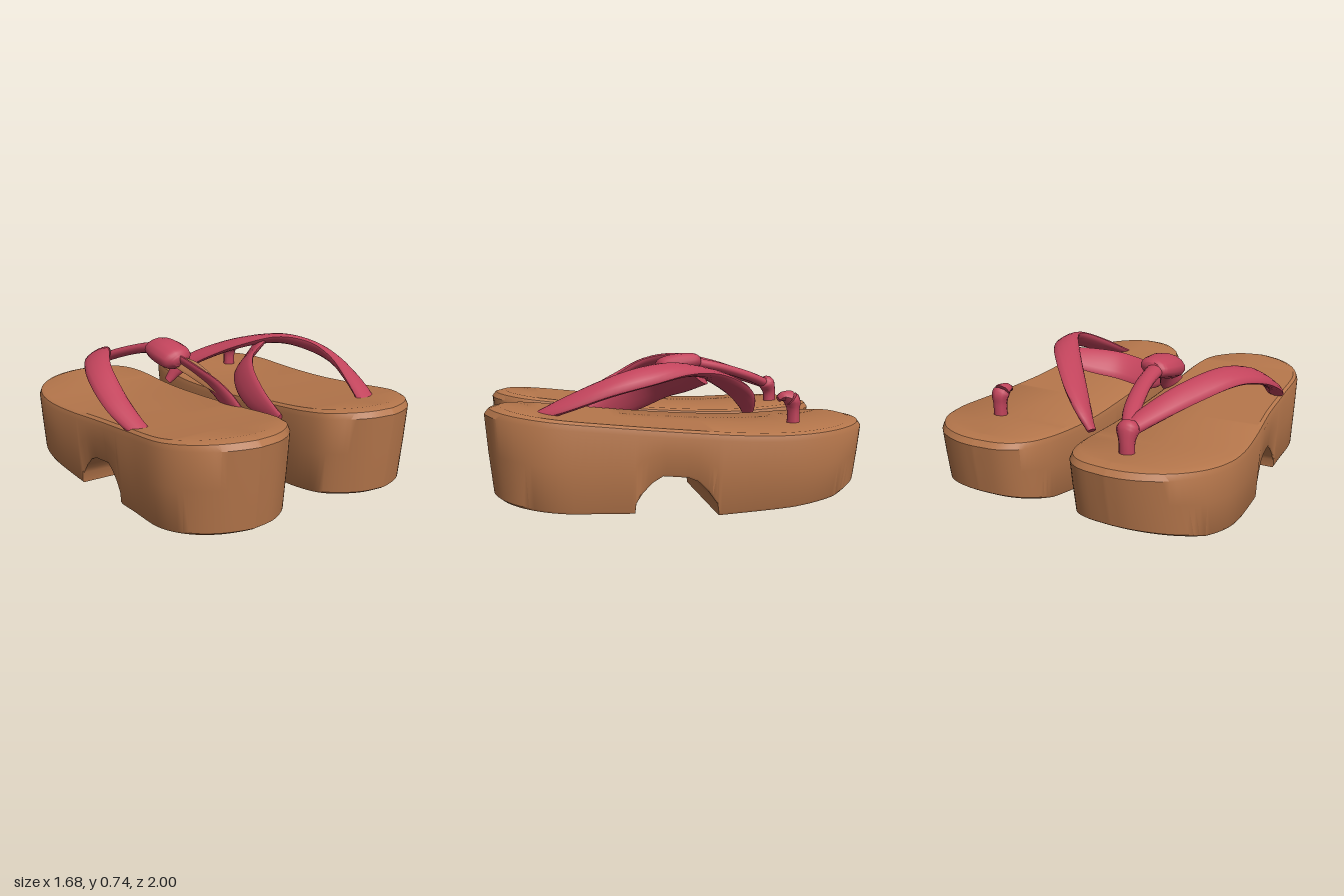
import * as THREE from 'three';
import { toCreasedNormals } from 'three/addons/utils/BufferGeometryUtils.js';

const wood = new THREE.MeshStandardMaterial({ color: 0xb5764b });
wood.name = 'wood';
const cloth = new THREE.MeshStandardMaterial({ color: 0xc2445c });
cloth.name = 'crimson cloth';

// Skin a list of closed rings, cap both ends and face the surface outward
function loft(rings) {
  const n = rings[0].length;
  const pts = rings.flat();
  const idx = [];
  for (let i = 0; i < rings.length - 1; i++) {
    for (let j = 0; j < n; j++) {
      const a = i * n + j, b = i * n + (j + 1) % n;
      idx.push(a, b, b + n, a, b + n, a + n);
    }
  }
  const last = (rings.length - 1) * n;
  for (let j = 1; j < n - 1; j++) idx.push(0, j + 1, j, last, last + j, last + j + 1);
  let volume = 0;
  const c = new THREE.Vector3();
  for (let i = 0; i < idx.length; i += 3) {
    volume += pts[idx[i]].dot(c.crossVectors(pts[idx[i + 1]], pts[idx[i + 2]]));
  }
  if (volume < 0) idx.reverse();
  const geo = new THREE.BufferGeometry().setFromPoints(pts);
  geo.setIndex(idx);
  geo.computeVertexNormals();
  return geo;
}

// Value at z, linear between [z, value] pairs
function lerpTable(table) {
  return z => {
    let i = 1;
    while (i < table.length - 1 && table[i][0] < z) i++;
    const [z0, v0] = table[i - 1], [z1, v1] = table[i];
    return v0 + (v1 - v0) * THREE.MathUtils.clamp((z - z0) / (z1 - z0), 0, 1);
  };
}
function smoothTable(table) {
  const curve = new THREE.CatmullRomCurve3(table.map(([z, v]) => new THREE.Vector3(z, v, 0)));
  return lerpTable(curve.getPoints(150).map(p => [p.x, p.y]));
}

// Sole: plan outline, top line and arched underside
const inner = smoothTable([[-1, 0.38], [-0.985, 0.25], [-0.95, 0.18], [-0.88, 0.12], [-0.75, 0.08],
  [-0.5, 0.063], [0, 0.068], [0.4, 0.075], [0.7, 0.085], [0.83, 0.12], [0.92, 0.2], [0.98, 0.3], [1, 0.42]]);
const outer = smoothTable([[-1, 0.38], [-0.99, 0.47], [-0.95, 0.58], [-0.88, 0.68], [-0.75, 0.78],
  [-0.6, 0.83], [-0.45, 0.84], [-0.2, 0.82], [0.1, 0.785], [0.4, 0.772], [0.7, 0.755], [0.85, 0.68],
  [0.94, 0.58], [0.985, 0.48], [1, 0.42]]);
const topLine = smoothTable([[-1, 0.43], [-0.8, 0.418], [-0.4, 0.402], [0, 0.42], [0.5, 0.465], [1, 0.52]]);
const underside = [[-1, 0.12], [-0.75, 0.06], [-0.5, 0.03], [-0.12, 0], [-0.112, 0.06], [-0.07, 0.12],
  [-0.02, 0.17], [0.03, 0.19], [0.15, 0.2], [0.2, 0.17], [0.25, 0.12], [0.282, 0.07], [0.288, 0.02],
  [0.6, 0.03], [1, 0.06]];
const bottomLine = lerpTable(underside);

function soleGeometry(side) {
  const zs = underside.map(p => p[0]).filter(z => Math.abs(z) < 0.9);
  for (let i = 0; i <= 70; i++) zs.push(-Math.cos(Math.PI * i / 70));
  zs.sort((a, b) => a - b);
  const mid = 0.44;
  const rings = zs.map(z => {
    const t = topLine(z), b = bottomLine(z);
    // scale and height of each layer, from the bottom edge to the top face
    const layers = [[0.945, b], [0.962, b + 0.012], [0.985, b + (t - b) * 0.5],
      [1, t - 0.04], [0.978, t - 0.012], [0.93, t]];
    const point = (x, [s, y]) =>
      new THREE.Vector3(side * (mid + (x - mid) * s), y, z * (1 - (1 - s) * z * z));
    const xi = inner(z), xo = outer(z);
    return [...layers.map(l => point(xi, l)), point((xi + xo) / 2, layers[5]),
      ...layers.map(l => point(xo, l)).reverse()];
  });
  return toCreasedNormals(loft(rings), 0.6);
}

// Strap: rows of [x, y, z, half width, half thickness, facing x, y, z]
function strapGeometry(rows, sides = 14) {
  const spline = k => new THREE.CatmullRomCurve3(
    rows.map(r => new THREE.Vector3(r[k], r[k + 1], r[k + 2] ?? 0)), false, 'catmullrom', 0.5);
  const path = spline(0), facing = spline(5);
  const size = new THREE.CatmullRomCurve3(
    rows.map(r => new THREE.Vector3(r[3], r[4], 0)), false, 'catmullrom', 0.5);
  const steps = (rows.length - 1) * 6;
  const rings = [];
  for (let i = 0; i <= steps; i++) {
    const u = i / steps;
    const p = path.getPoint(u), t = path.getTangent(u), s = size.getPoint(u);
    const across = new THREE.Vector3().crossVectors(t, facing.getPoint(u)).normalize();
    const out = new THREE.Vector3().crossVectors(across, t).normalize();
    rings.push(Array.from({ length: sides }, (_, j) => {
      const a = j / sides * Math.PI * 2;
      return p.clone().addScaledVector(across, Math.cos(a) * s.x).addScaledVector(out, Math.sin(a) * s.y);
    }));
  }
  return toCreasedNormals(loft(rings), 0.9);
}

export function createModel() {
  const group = new THREE.Group();
  group.name = 'sandals';
  const left = new THREE.Group(), right = new THREE.Group();
  left.name = 'leftSandal';
  right.name = 'rightSandal';
  group.add(left, right);
  const add = (parent, name, geometry, material = cloth) => {
    const mesh = new THREE.Mesh(geometry, material);
    mesh.name = name;
    parent.add(mesh);
    return mesh;
  };

  add(left, 'sole', soleGeometry(1), wood);
  add(right, 'sole', soleGeometry(-1), wood);

  // Right sandal: toe post, long outer strap, thin strap, knot and inner strap
  add(right, 'toePost', strapGeometry([
    [-0.37, 0.38, -0.77, 0.04, 0.04, 0, 0, 1],
    [-0.37, 0.47, -0.77, 0.04, 0.04, 0, 0, 1],
    [-0.365, 0.53, -0.75, 0.058, 0.05, 0, 0, 1],
    [-0.36, 0.56, -0.73, 0.035, 0.03, 0, 0, 1]]));
  add(right, 'outerStrap', strapGeometry([
    [-0.365, 0.52, -0.76, 0.04, 0.03, -0.3, 1, 0],
    [-0.42, 0.57, -0.62, 0.06, 0.03, -0.4, 0.9, 0],
    [-0.52, 0.635, -0.43, 0.07, 0.028, -0.5, 0.8, 0],
    [-0.64, 0.68, -0.2, 0.075, 0.028, -0.5, 0.8, 0.2],
    [-0.72, 0.645, 0, 0.07, 0.028, -0.5, 0.7, 0.4],
    [-0.738, 0.55, 0.2, 0.065, 0.028, -0.3, 0.7, 0.6],
    [-0.72, 0.47, 0.35, 0.055, 0.028, -0.2, 0.8, 0.5],
    [-0.69, 0.42, 0.46, 0.04, 0.02, 0, 0.8, 0.5]]));
  add(right, 'thinStrap', strapGeometry([
    [-0.36, 0.53, -0.74, 0.035, 0.03, 0, 1, 0],
    [-0.31, 0.585, -0.6, 0.045, 0.03, 0, 1, 0],
    [-0.265, 0.645, -0.4, 0.045, 0.03, 0, 1, 0],
    [-0.245, 0.685, -0.2, 0.05, 0.035, 0, 1, 0]]));
  add(right, 'knot', strapGeometry([
    [-0.24, 0.69, -0.265, 0.055, 0.03, -0.2, 1, 0],
    [-0.24, 0.685, -0.235, 0.085, 0.05, -0.2, 1, 0],
    [-0.238, 0.67, -0.13, 0.1, 0.065, -0.2, 1, 0],
    [-0.232, 0.65, -0.03, 0.092, 0.06, -0.2, 1, 0],
    [-0.23, 0.64, 0.01, 0.045, 0.03, -0.2, 1, 0]]));
  add(right, 'innerStrap', strapGeometry([
    [-0.22, 0.64, -0.04, 0.06, 0.02, 0.8, 0.5, 0],
    [-0.17, 0.59, 0.07, 0.06, 0.02, 0.8, 0.5, 0],
    [-0.12, 0.52, 0.18, 0.075, 0.022, 0.9, 0.4, 0],
    [-0.1, 0.45, 0.3, 0.07, 0.022, 1, 0.2, 0],
    [-0.1, 0.4, 0.44, 0.03, 0.015, 1, 0, 0]]));
  // wood-coloured lining on the strap's inward face
  add(right, 'strapLining', strapGeometry([
    [-0.235, 0.635, -0.02, 0.035, 0.004, -0.8, 0.5, 0],
    [-0.185, 0.6, 0.07, 0.045, 0.004, -0.8, 0.5, 0],
    [-0.14, 0.54, 0.17, 0.035, 0.004, -0.8, 0.5, 0],
    [-0.115, 0.49, 0.24, 0.012, 0.003, -0.8, 0.5, 0]]), wood);

  // Left sandal: crossing strap, inner strap and loose toe peg
  add(left, 'crossStrap', strapGeometry([
    [-0.015, 0.38, -0.515, 0.03, 0.02, -0.4, 0.8, 0.2],
    [0.05, 0.46, -0.485, 0.055, 0.03, -0.4, 0.8, 0.2],
    [0.16, 0.55, -0.39, 0.07, 0.03, -0.3, 0.9, 0.1],
    [0.33, 0.645, -0.2, 0.075, 0.03, -0.1, 1, 0],
    [0.48, 0.69, 0, 0.075, 0.03, 0.3, 0.9, 0],
    [0.57, 0.665, 0.2, 0.07, 0.03, 0.6, 0.8, 0.1],
    [0.585, 0.61, 0.4, 0.068, 0.03, 0.5, 0.8, 0.2],
    [0.54, 0.52, 0.62, 0.07, 0.028, 0.3, 0.9, 0.3],
    [0.48, 0.46, 0.76, 0.05, 0.02, 0.1, 0.9, 0.3]]));
  add(left, 'innerStrap', strapGeometry([
    [0.41, 0.645, -0.11, 0.07, 0.018, -0.4, 0.8, -0.4],
    [0.28, 0.61, -0.02, 0.085, 0.02, -0.5, 0.7, -0.5],
    [0.16, 0.575, 0.07, 0.09, 0.02, -0.7, 0.6, -0.4],
    [0.09, 0.515, 0.19, 0.09, 0.02, -0.9, 0.4, -0.2],
    [0.062, 0.45, 0.34, 0.075, 0.02, -1, 0.2, 0],
    [0.065, 0.39, 0.53, 0.03, 0.015, -1, 0, 0]]));
  add(left, 'toePeg', strapGeometry([
    [0.52, 0.38, -0.595, 0.04, 0.035, 0, 0, 1],
    [0.52, 0.47, -0.595, 0.04, 0.035, 0, 0, 1],
    [0.52, 0.525, -0.585, 0.05, 0.045, 0, 0.3, 1],
    [0.52, 0.545, -0.54, 0.04, 0.028, 0, 1, 0.4],
    [0.52, 0.53, -0.51, 0.025, 0.015, 0, 1, 0.4]], 8));

  return group;
}
